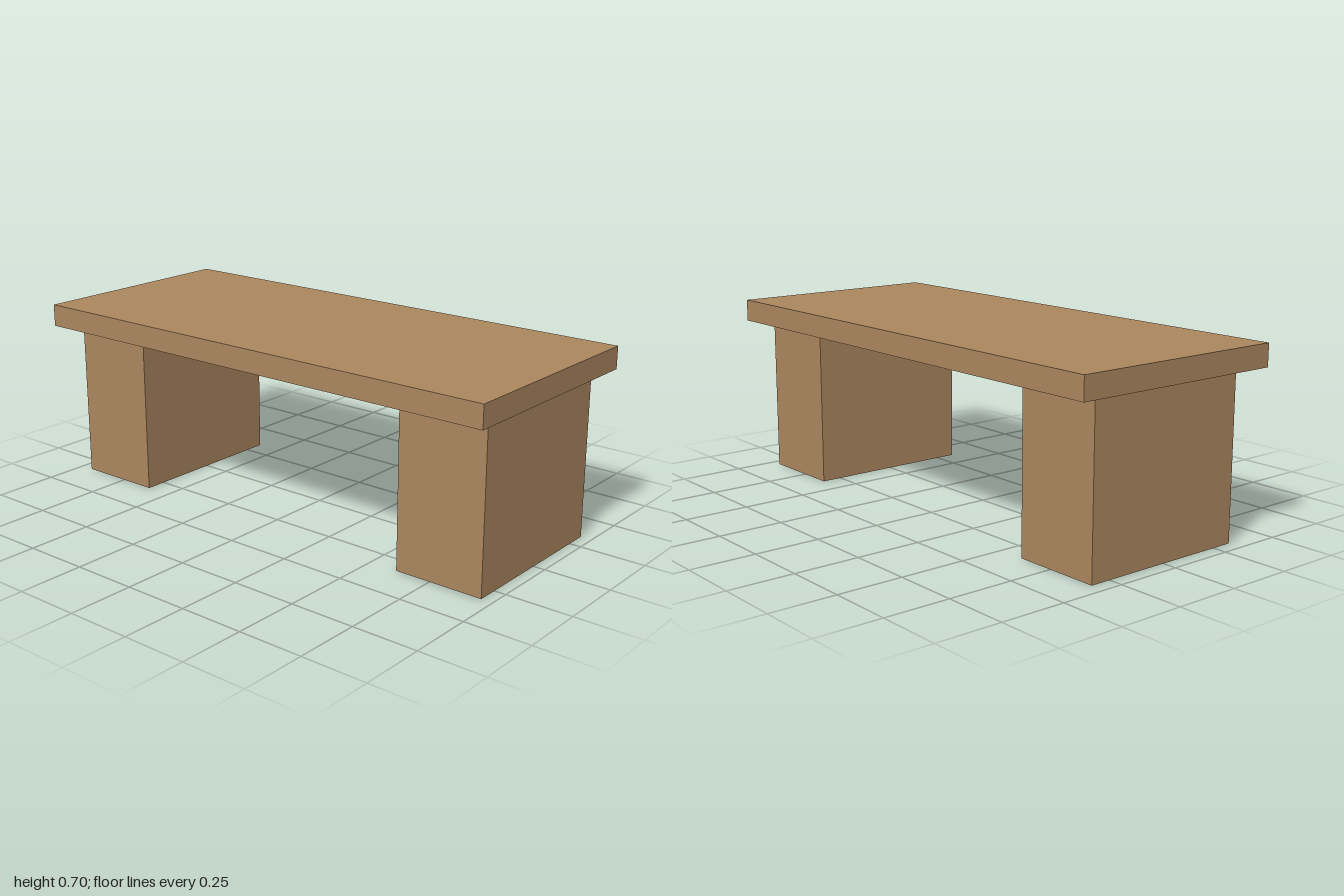
import * as THREE from 'three';

export function createModel() {
  const group = new THREE.Group();
  const wood = new THREE.MeshStandardMaterial({ color: 0xaa865e });
  wood.name = 'wood';

  // Box spanning the given heights and depths, centred on x
  const block = (name, width, y0, y1, z0, z1) => {
    const mesh = new THREE.Mesh(new THREE.BoxGeometry(width, y1 - y0, z1 - z0), wood);
    mesh.name = name;
    mesh.position.set(0, (y0 + y1) / 2, (z0 + z1) / 2);
    group.add(mesh);
  };

  // Long flat slab on two block legs
  block('seatSlab', 0.86, 0.62, 0.705, -1, 1);
  block('frontLeg', 0.66, 0, 0.62, 0.611, 0.956);
  block('backLeg', 0.66, 0, 0.62, -0.946, -0.606);

  return group;
}
